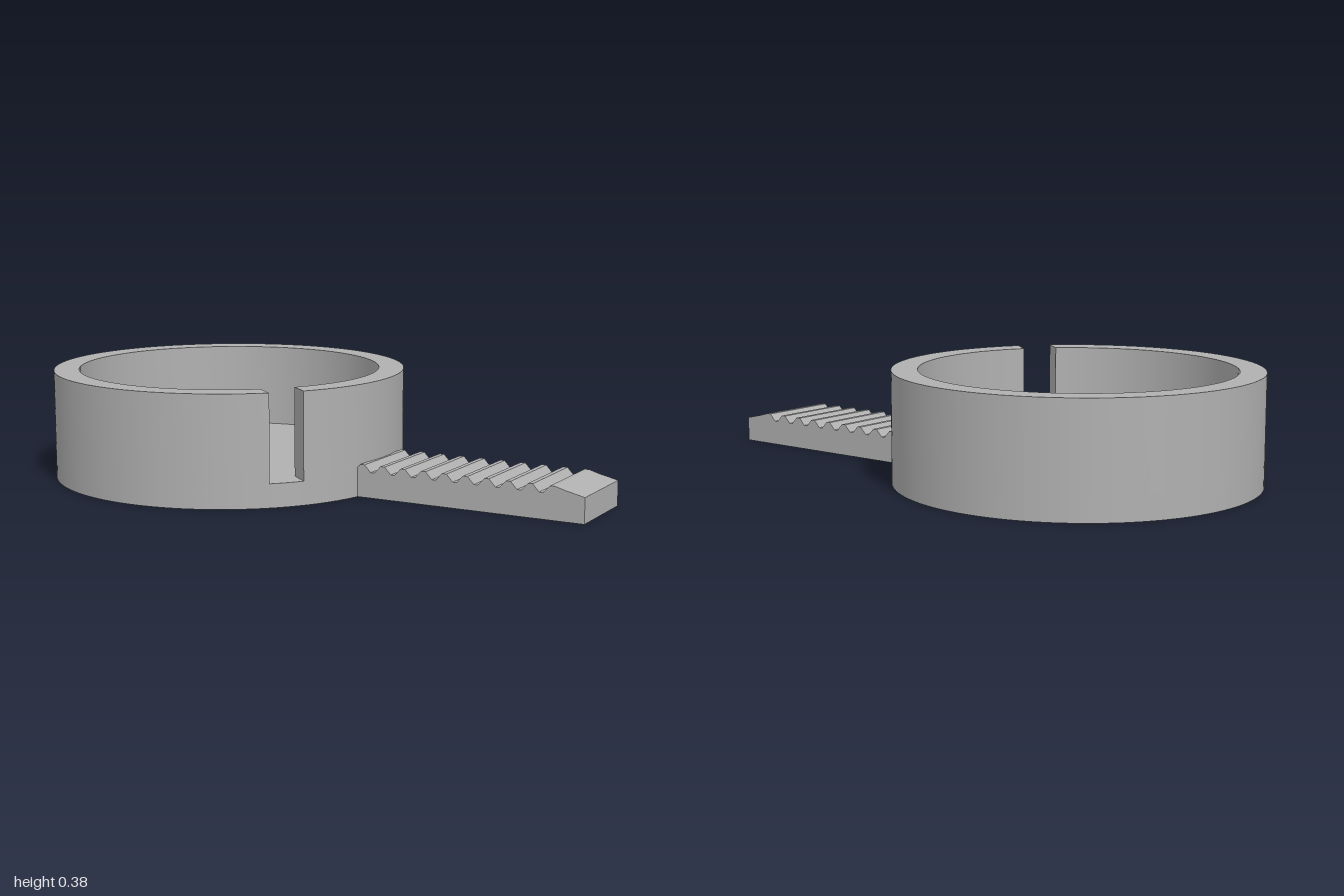
import * as THREE from 'three';
import { toCreasedNormals } from 'three/addons/utils/BufferGeometryUtils.js';

const CX = -0.389, R_OUT = 0.611, R_IN = 0.524, FLOOR = 0.08, HEIGHT = 0.375;

export function createModel() {
  const grey = new THREE.MeshStandardMaterial({ color: 0xb0b0b0 });
  grey.name = 'grey';
  const model = new THREE.Group();
  model.name = 'slottedCup';
  const add = (name, geometry) => {
    const mesh = new THREE.Mesh(geometry, grey);
    mesh.name = name;
    model.add(mesh);
    return mesh;
  };

  // Solid floor disc
  add('cupFloor', new THREE.CylinderGeometry(R_OUT, R_OUT, FLOOR, 128))
    .position.set(CX, FLOOR / 2, 0);

  // Ring wall, cut by a parallel-sided slot down to the floor
  const slotAngle = THREE.MathUtils.degToRad(-40), slotHalf = 0.058;
  const outGap = Math.asin(slotHalf / R_OUT), inGap = Math.asin(slotHalf / R_IN);
  const end = slotAngle + Math.PI * 2;
  const ring = new THREE.Shape();
  ring.absarc(0, 0, R_OUT, slotAngle + outGap, end - outGap, false);
  ring.absarc(0, 0, R_IN, end - inGap, slotAngle + inGap, true);
  ring.closePath();
  const wall = new THREE.ExtrudeGeometry(ring, {
    depth: HEIGHT - FLOOR, bevelEnabled: false, curveSegments: 120,
  });
  wall.rotateX(-Math.PI / 2);
  add('cupWall', toCreasedNormals(wall, 0.5)).position.set(CX, FLOOR, 0);

  // Handle bar with a row of grip teeth and a sloped tip
  const start = 0.118, pitch = 0.0745, peak = 0.11, valley = 0.086, halfWidth = 0.147;
  const side = new THREE.Shape();
  side.moveTo(start, 0);
  side.lineTo(1, 0);
  side.lineTo(1, 0.085);
  side.lineTo(0.935, 0.1);
  for (let i = 0; i <= 10; i++) {
    const x = 0.892 - i * pitch;
    side.lineTo(x + 0.008, peak);
    side.lineTo(x - 0.008, peak);
    if (i < 10) {
      side.lineTo(x - pitch / 2 + 0.007, valley);
      side.lineTo(x - pitch / 2 - 0.007, valley);
    }
  }
  side.lineTo(start, valley + 0.006);
  side.closePath();
  const bar = new THREE.ExtrudeGeometry(side, { depth: halfWidth * 2, bevelEnabled: false });
  add('toothedHandle', bar).position.z = -halfWidth;

  return model;
}
